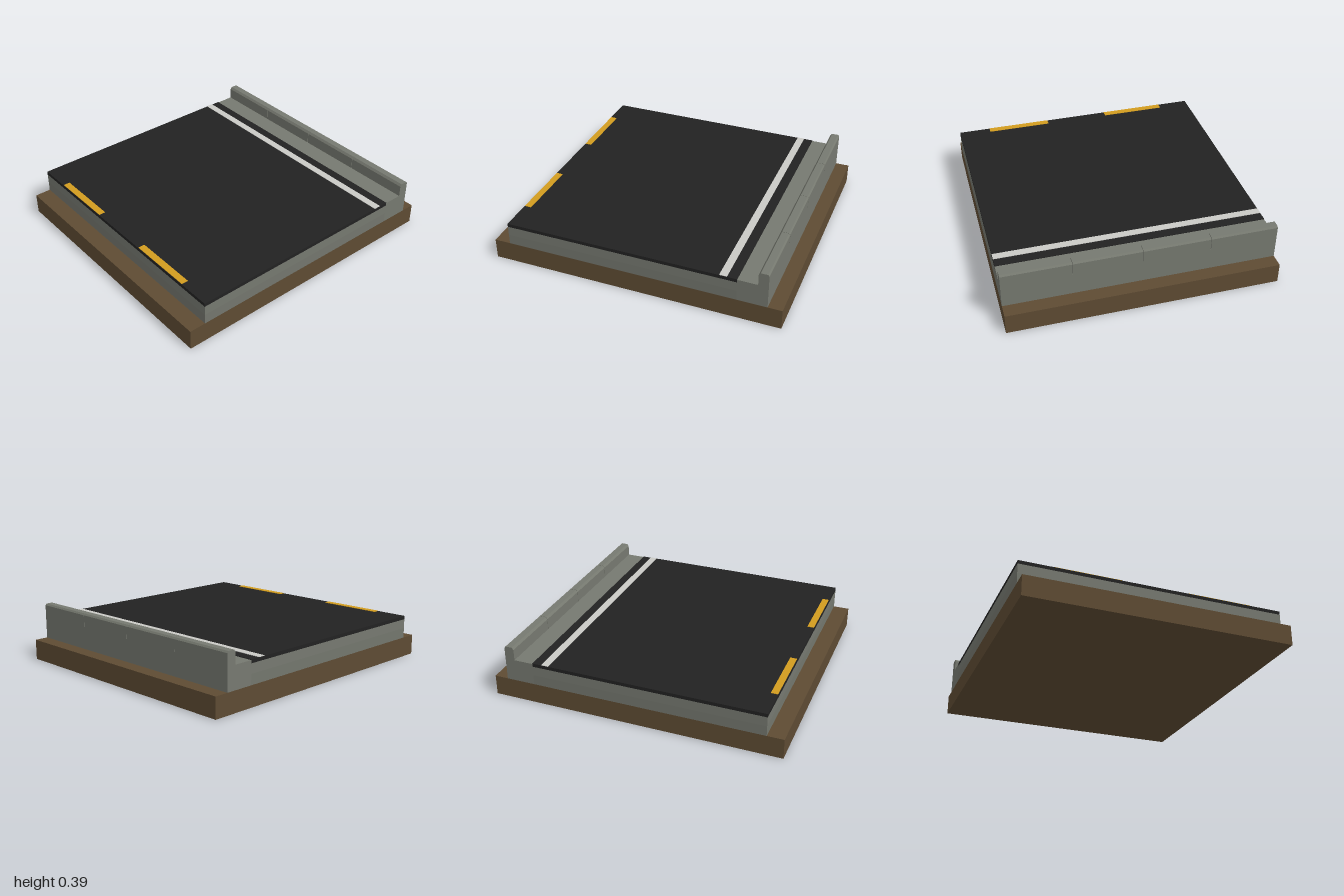
import * as THREE from 'three';

const mat = (name, color) => Object.assign(new THREE.MeshStandardMaterial({ color }), { name });

export function createModel() {
  const model = new THREE.Group();
  model.name = 'roadSection';

  const earth = mat('earth brown', 0x5e4b33);
  const concrete = mat('concrete grey', 0x767970);
  const gravel = mat('gravel grey', 0x73766d);
  const asphalt = mat('asphalt black', 0x222222);
  const white = mat('line white', 0xcacac6);
  const yellow = mat('line yellow', 0xd29c1f);

  const half = 0.907;

  // Box given by its limits on each axis
  const slab = (name, material, [x0, x1], [y0, y1], [z0, z1]) => {
    const mesh = new THREE.Mesh(new THREE.BoxGeometry(x1 - x0, y1 - y0, z1 - z0), material);
    mesh.position.set((x0 + x1) / 2, (y0 + y1) / 2, (z0 + z1) / 2);
    mesh.name = name;
    model.add(mesh);
  };
  const full = [-half, half];
  const road = [-0.705, 0.888];

  // Ground and road layers
  slab('ground', earth, full, [0, 0.14], [-1, 1]);
  slab('lowerBase', gravel, full, [0.14, 0.21], road);
  slab('upperBase', concrete, full, [0.21, 0.275], road);
  slab('asphalt', asphalt, full, [0.275, 0.299], road);

  // Gutter beside the road, running under the kerb
  slab('gutter', concrete, full, [0.14, 0.295], [-0.905, -0.705]);

  // Painted markings
  slab('edgeLine', white, full, [0.299, 0.302], [-0.64, -0.59]);
  for (const side of [-1, 1]) {
    const xs = [side * 0.228, side * 0.682].sort((a, b) => a - b);
    slab('centreDash', yellow, xs, [0.299, 0.302], [0.84, 0.886]);
  }

  // Kerb stones with bevelled top edges; the profile is drawn in (z, y)
  const profile = new THREE.Shape([
    [-0.905, 0.255], [-0.905, 0.376], [-0.896, 0.387],
    [-0.85, 0.387], [-0.838, 0.372], [-0.838, 0.255],
  ].map(([z, y]) => new THREE.Vector2(-z, y)));
  const count = 4;
  const pitch = (half * 2) / count;
  const gap = 0.003;
  for (let i = 0; i < count; i++) {
    const start = -half + i * pitch + (i > 0 ? gap / 2 : 0);
    const end = -half + (i + 1) * pitch - (i < count - 1 ? gap / 2 : 0);
    const geometry = new THREE.ExtrudeGeometry(profile, { depth: end - start, bevelEnabled: false });
    geometry.rotateY(Math.PI / 2);
    const stone = new THREE.Mesh(geometry, concrete);
    stone.position.x = start;
    stone.name = 'kerbStone';
    model.add(stone);
  }

  return model;
}
